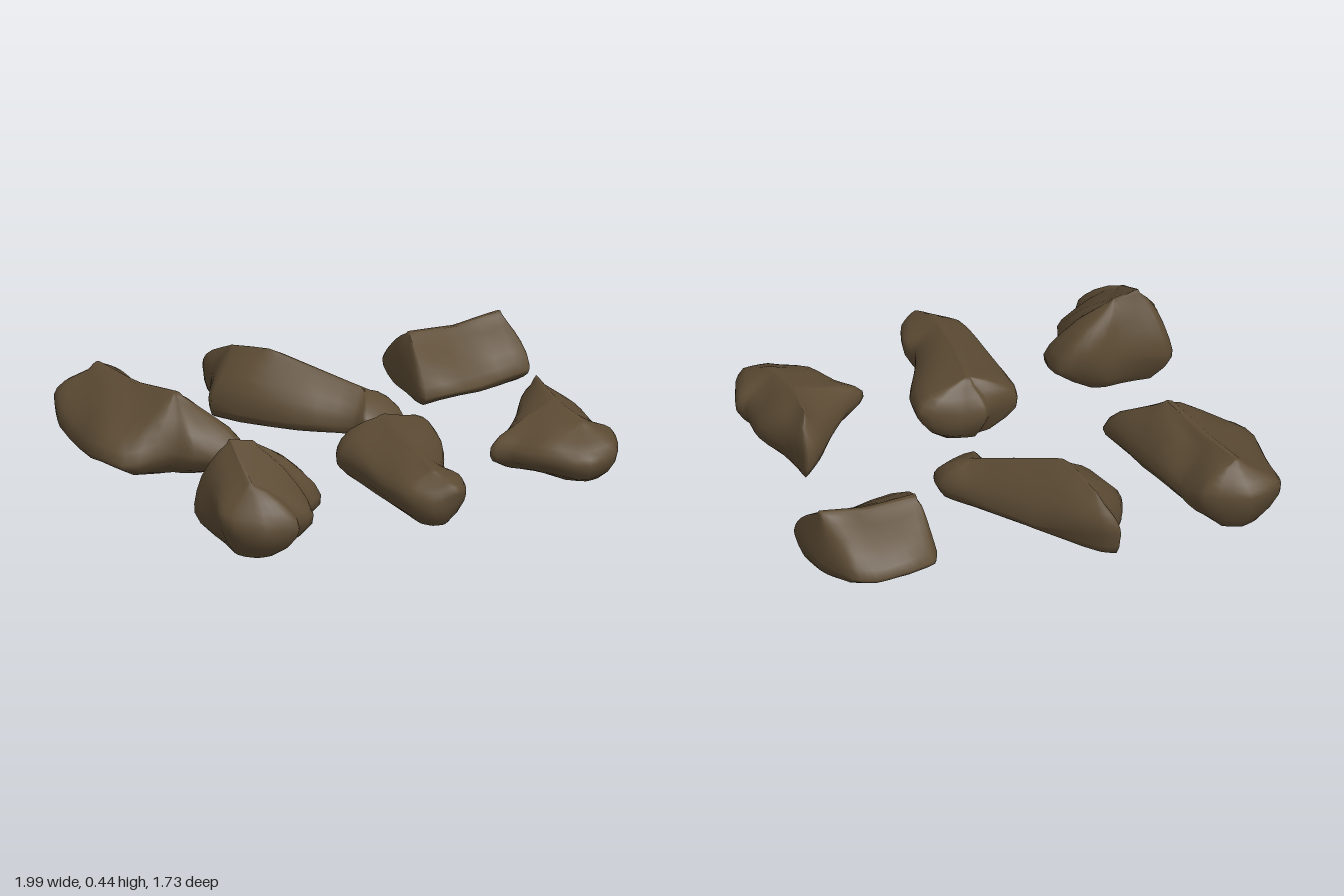
import * as THREE from 'three';
import { mergeVertices } from 'three/addons/utils/BufferGeometryUtils.js';

const STEPS = 3; // rim points per outline point

// Nearest point to p (in plan) on a polyline of ridge points
function nearestOnRidge(p, ridge) {
  let best = null, bestD = Infinity;
  for (let i = 0; i < ridge.length - 1; i++) {
    const a = ridge[i], b = ridge[i + 1];
    const dx = b.x - a.x, dz = b.z - a.z;
    const t = THREE.MathUtils.clamp(((p.x - a.x) * dx + (p.z - a.z) * dz) / (dx * dx + dz * dz), 0, 1);
    const q = a.clone().lerp(b, t);
    const d = Math.hypot(p.x - q.x, p.z - q.z);
    if (d < bestD) { bestD = d; best = q; }
  }
  return best;
}

// Closed rim through the outline, halfway between straight edges and a smooth curve
function rimPoints(corners) {
  const curve = new THREE.CatmullRomCurve3(corners, true, 'centripetal');
  const n = corners.length, rim = [];
  for (let j = 0; j < n * STEPS; j++) {
    const i = Math.floor(j / STEPS);
    const straight = corners[i].clone().lerp(corners[(i + 1) % n], (j % STEPS) / STEPS);
    rim.push(curve.getPoint(j / (n * STEPS)).lerp(straight, 0.5));
  }
  return rim;
}

// Gentle lumps over the surface
function lump(v, amount) {
  const { x, y, z } = v;
  v.x += amount * Math.sin(17 * y + 13 * z);
  v.y += amount * Math.sin(19 * x + 15 * z);
  v.z += amount * Math.sin(16 * x + 21 * y + 1);
}

// A rock: plan outline [x, z, optional height] at its waist, closing up to a
// three-point ridge [x, y, z] and down to a flattened base. Roundness 1 gives straight slopes.
function rockGeometry({ outline, waist, ridge, base, roundness, foot = 0.45, lumps = 0.007 }) {
  const rim = rimPoints(outline.map(([x, z, y = waist]) => new THREE.Vector3(x, y, z)));
  const crest = ridge.map((p) => new THREE.Vector3(...p));
  const centre = crest[1];
  const sides = rim.length;

  // Rows run from the base to the ridge: [drop or rise, spread]
  const rows = [[-1, foot * 0.5], [-0.93, foot], [-0.6, foot + (1 - foot) * 0.6], [-0.25, 0.97], [0, 1]];
  for (const t of [0.2, 0.4, 0.6, 0.8, 0.93]) rows.push([t, 1 - Math.pow(t, roundness)]);
  rows.push([1, 0.05]);

  const positions = [], index = [];
  rows.forEach(([t, spread], i) => rim.forEach((p, j) => {
    const q = nearestOnRidge(p, crest);
    const v = new THREE.Vector3(
      THREE.MathUtils.lerp(q.x, p.x, spread),
      t < 0 ? THREE.MathUtils.lerp(p.y, base, -t) : THREE.MathUtils.lerp(p.y, q.y, t),
      THREE.MathUtils.lerp(q.z, p.z, spread));
    if (t > -0.9 && t < 0.9) lump(v, lumps);
    positions.push(v.x, v.y, v.z);
    if (i === rows.length - 1) return;
    const k = (j + 1) % sides;
    const a = i * sides + j, b = i * sides + k, c = b + sides, d = a + sides;
    index.push(a, d, c, a, c, b);
  }));

  // Close the base and the ridge to a centre point
  const low = rows.length * sides, last = low - sides;
  positions.push(centre.x, base, centre.z, centre.x, centre.y, centre.z);
  for (let j = 0; j < sides; j++) {
    const k = (j + 1) % sides;
    index.push(low, j, k, low + 1, last + k, last + j);
  }

  let geometry = new THREE.BufferGeometry();
  geometry.setAttribute('position', new THREE.Float32BufferAttribute(positions, 3));
  geometry.setIndex(index);
  geometry = mergeVertices(geometry, 1e-4);
  geometry.computeVertexNormals();
  return geometry;
}

export function createModel() {
  const group = new THREE.Group();
  group.name = 'rocks';
  const stone = new THREE.MeshStandardMaterial({ color: 0x5c4b34 });
  stone.name = 'brown stone';

  const addRock = (name, options) => {
    const mesh = new THREE.Mesh(rockGeometry(options), stone);
    mesh.name = name;
    group.add(mesh);
  };

  // Long boulder with sloping flanks
  addRock('backRightRock', {
    outline: [[-1, -0.4, 0.12], [-0.97, -0.7], [-0.92, -0.82, 0.2], [-0.77, -0.87, 0.22], [-0.6, -0.79, 0.2],
      [-0.57, -0.68], [-0.57, -0.6], [-0.52, -0.42], [-0.45, -0.09, 0.13], [-0.48, -0.04, 0.11],
      [-0.68, -0.1], [-0.75, -0.17], [-0.93, -0.24, 0.12]],
    waist: 0.15, base: 0.025, roundness: 1.6,
    ridge: [[-0.76, 0.345, -0.75], [-0.71, 0.33, -0.52], [-0.65, 0.36, -0.3]],
  });

  // Diagonal slab, tall at the back with a flat underside
  addRock('backMiddleRock', {
    outline: [[-0.21, -0.85, 0.17], [-0.14, -0.81, 0.17], [0.05, -0.56], [0.22, -0.32], [0.315, -0.19, 0.1],
      [0.3, -0.09, 0.1], [0.1, -0.05], [0.08, -0.13], [-0.1, -0.27], [-0.335, -0.57], [-0.22, -0.76, 0.15]],
    waist: 0.11, base: 0.065, roundness: 2.3, foot: 0.85, lumps: 0.004,
    ridge: [[-0.16, 0.31, -0.69], [-0.1, 0.355, -0.5], [0.18, 0.23, -0.2]],
  });

  // Squared block with a slightly sagging ridge
  addRock('backLeftRock', {
    outline: [[0.475, -0.2], [0.485, -0.4], [0.495, -0.6], [0.53, -0.66], [0.65, -0.7], [0.8, -0.69],
      [0.89, -0.65], [0.96, -0.48], [1, -0.29, 0.14], [0.98, -0.245], [0.75, -0.22]],
    waist: 0.12, base: 0.05, roundness: 1.5, foot: 0.6, lumps: 0.005,
    ridge: [[0.53, 0.31, -0.45], [0.74, 0.295, -0.44], [0.94, 0.325, -0.43]],
  });

  // Tall peaked rock with a shoulder towards the front
  addRock('frontRightRock', {
    outline: [[-0.91, 0.3], [-0.87, 0.27], [-0.7, 0.29, 0.19], [-0.55, 0.29, 0.19], [-0.43, 0.34],
      [-0.415, 0.48], [-0.5, 0.53], [-0.53, 0.63], [-0.62, 0.67], [-0.66, 0.74], [-0.8, 0.72],
      [-0.9, 0.63, 0.18], [-0.93, 0.55, 0.18], [-0.91, 0.43]],
    waist: 0.15, base: 0, roundness: 1.7,
    ridge: [[-0.69, 0.41, 0.38], [-0.78, 0.435, 0.38], [-0.8, 0.32, 0.57]],
  });

  // Long rock with a full, rounded nose
  addRock('frontMiddleRock', {
    outline: [[-0.2, 0.25], [-0.17, 0.18], [-0.04, 0.16], [0, 0.12], [0.1, 0.14], [0.25, 0.19, 0.19],
      [0.22, 0.35], [0.15, 0.5], [0.1, 0.63], [0.12, 0.7], [0.07, 0.82], [0, 0.865, 0.2],
      [-0.09, 0.83], [-0.16, 0.73], [-0.18, 0.55]],
    waist: 0.17, base: 0.035, roundness: 2.4,
    ridge: [[0.02, 0.315, 0.23], [-0.01, 0.3, 0.45], [-0.03, 0.275, 0.73]],
  });

  // Irregular rock with a pointed back and side
  addRock('frontLeftRock', {
    outline: [[0.78, 0.11, 0.13], [0.8, 0.25], [0.87, 0.4], [0.87, 0.55], [0.9, 0.6], [0.85, 0.72],
      [0.8, 0.78], [0.67, 0.79], [0.52, 0.66], [0.45, 0.55], [0.375, 0.48, 0.14], [0.46, 0.42],
      [0.6, 0.28], [0.7, 0.17]],
    waist: 0.16, base: 0.04, roundness: 2.2,
    ridge: [[0.74, 0.33, 0.23], [0.71, 0.31, 0.43], [0.73, 0.285, 0.63]],
  });

  return group;
}
